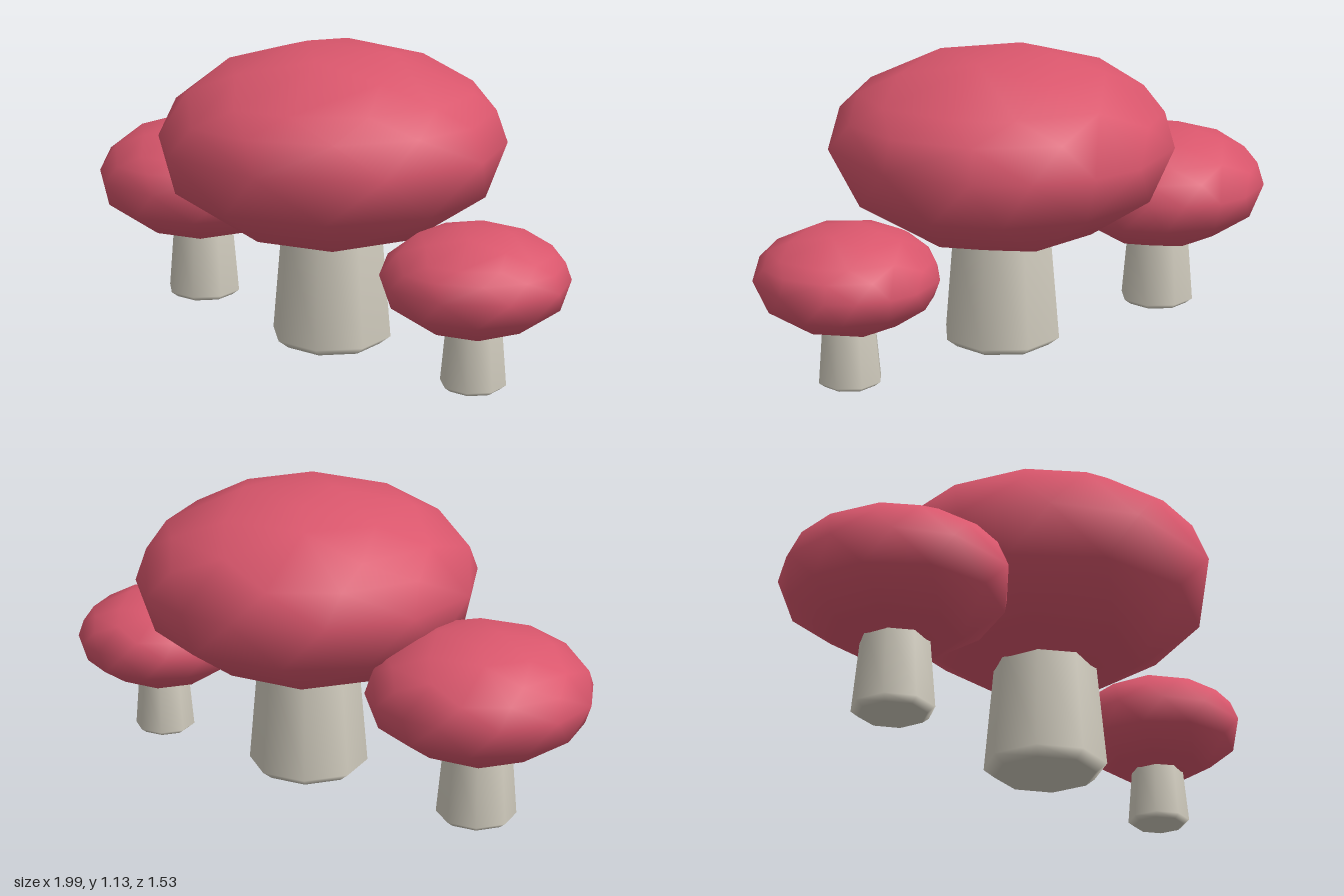
import * as THREE from 'three';
import { ConvexGeometry } from 'three/addons/geometries/ConvexGeometry.js';

const capMaterial = new THREE.MeshStandardMaterial({ color: 0xd9566c });
capMaterial.name = 'cap red';
const stemMaterial = new THREE.MeshStandardMaterial({ color: 0xd3cec0 });
stemMaterial.name = 'stem ivory';

// Coarse faceted sphere, smooth shaded and flattened. Rings: [height, longitudes in degrees]
function makeCapGeometry() {
  const rings = [
    [0.985, [203]],
    [0.93, [0, 90, 270]],
    [0.79, [50, 135, 182, 228, 268, 315]],
    [0.57, [0, 32, 62, 92, 115, 155, 210, 245, 300, 335]],
    [0.36, [20, 45, 75, 105, 130, 180, 225, 255, 280, 320, 350]],
    [0.04, [20, 59, 100, 140, 170, 200, 230, 261, 291, 310, 331, 350]],
    [-0.41, [5, 40, 78, 115, 150, 185, 215, 245, 275, 310, 340]],
    [-0.84, [20, 75, 125, 180, 225, 270, 320]],
    [-0.965, [0, 100]],
    [-0.99, [190]],
  ];
  const points = [];
  for (const [y, angles] of rings) {
    const r = Math.sqrt(1 - y * y);
    for (const a of angles) {
      const t = THREE.MathUtils.degToRad(a);
      points.push(new THREE.Vector3(r * Math.cos(t), y, r * Math.sin(t)));
    }
  }
  const geometry = new ConvexGeometry(points);
  geometry.setAttribute('normal', geometry.attributes.position.clone());
  return geometry.scale(1, 0.58, 1);
}

// Tapered eight-sided stem with a bevelled foot
function makeStemGeometry() {
  const profile = [[0, 0.015], [0.29, 0], [0.354, 0.05], [0.295, 0.72]];
  return new THREE.LatheGeometry(profile.map(([x, y]) => new THREE.Vector2(x, y)), 8);
}

export function createModel() {
  const model = new THREE.Group();
  model.name = 'mushroomCluster';
  const capGeometry = makeCapGeometry();
  const stemGeometry = makeStemGeometry();

  // The same mushroom in three sizes: name, x, z, scale
  const mushrooms = [
    ['largeMushroom', 0.055, 0.075, 0.645],
    ['backMushroom', -0.59, -0.355, 0.415],
    ['frontMushroom', 0.665, 0.435, 0.335],
  ];
  for (const [name, x, z, size] of mushrooms) {
    const mushroom = new THREE.Group();
    mushroom.name = name;
    const cap = new THREE.Mesh(capGeometry, capMaterial);
    cap.name = 'cap';
    cap.position.y = 1.185;
    const stem = new THREE.Mesh(stemGeometry, stemMaterial);
    stem.name = 'stem';
    mushroom.add(cap, stem);
    mushroom.position.set(x, 0, z);
    mushroom.scale.setScalar(size);
    model.add(mushroom);
  }
  return model;
}
